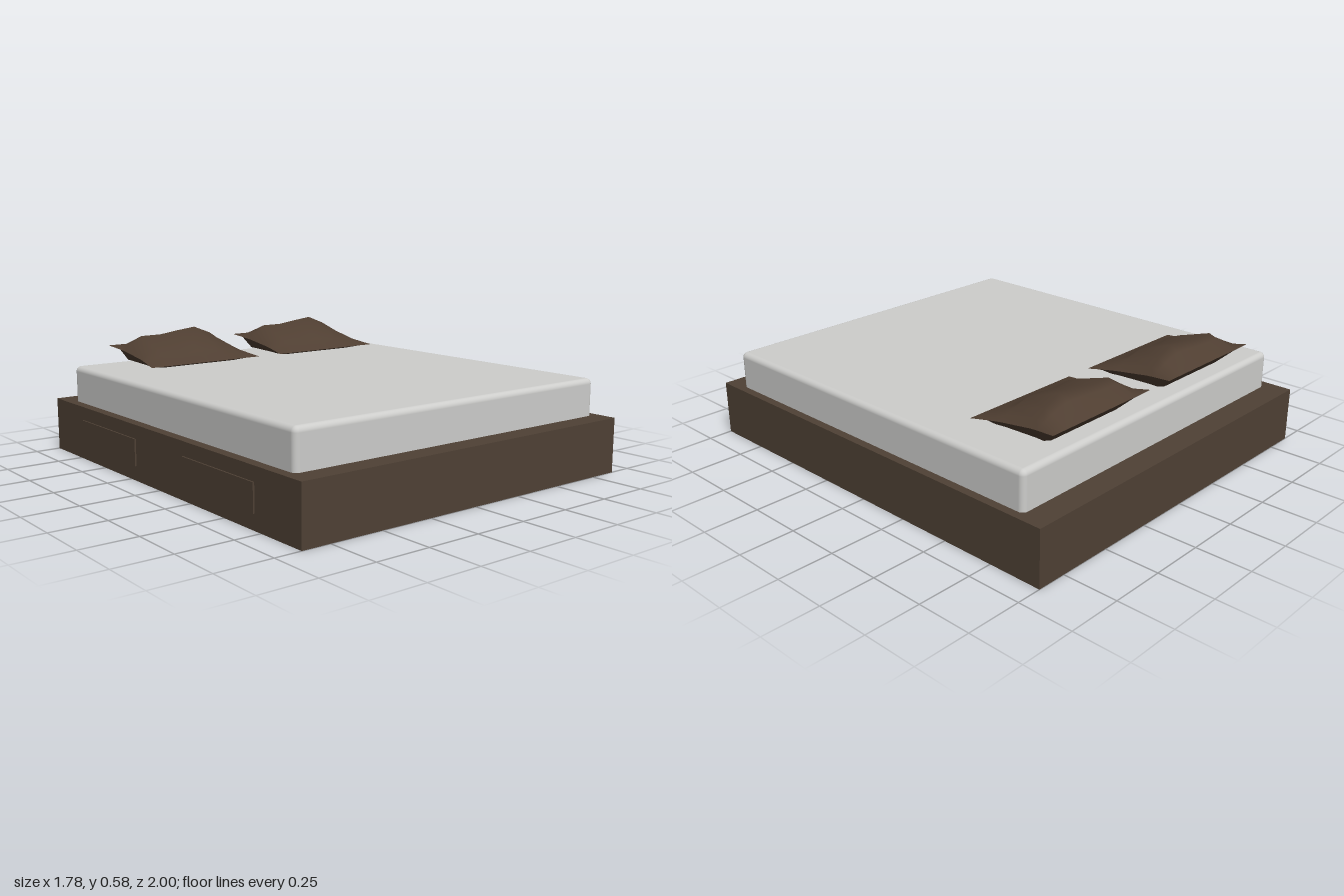
import * as THREE from 'three';
import { RoundedBoxGeometry } from 'three/addons/geometries/RoundedBoxGeometry.js';

const mat = (name, color) => Object.assign(new THREE.MeshStandardMaterial({ color }), { name });

function addMesh(parent, name, geometry, material, x, y, z) {
  const mesh = new THREE.Mesh(geometry, material);
  mesh.name = name;
  mesh.position.set(x, y, z);
  parent.add(mesh);
  return mesh;
}

// Pillow cross-sections from back to front: z, half width, seam height, top rise, bottom drop
const ROWS = [
  [-0.88, 0.302, 0.510, 0, 0],
  [-0.79, 0.284, 0.497, 0.065, 0.067],
  [-0.75, 0.280, 0.492, 0.093, 0.062],
  [-0.59, 0.282, 0.470, 0.055, 0.040],
  [-0.54, 0.288, 0.463, 0.036, 0.033],
  [-0.50, 0.294, 0.457, 0.020, 0.018],
  [-0.45, 0.303, 0.450, 0, 0],
];
// Position across the pillow, and how puffed the top and bottom are there
const COLS = [
  [0, 0, 0], [0.07, 0.4, 0.8], [0.16, 0.74, 1], [0.35, 0.74, 1], [0.52, 0.88, 1],
  [0.70, 1, 1], [0.86, 0.62, 1], [0.94, 0.3, 0.8], [1, 0, 0],
];

// One side of the pillow, lofted through the cross-sections
function pillowSide(isTop) {
  const pos = [], index = [], n = COLS.length;
  ROWS.forEach(([z, half, seam, rise, drop], r) => COLS.forEach(([t, up, down], c) => {
    // soft creases near the front edge
    const crease = r > 3 && r < 6 && c % 2 ? 0.6 : 1;
    const y = isTop ? seam + rise * up * crease : seam - drop * down;
    pos.push((t * 2 - 1) * half, y, z);
    if (r && c) {
      const d = r * n + c, a = d - n - 1, b = d - n, e = d - 1;
      if (isTop) index.push(a, e, b, b, e, d);
      else index.push(a, b, e, b, d, e);
    }
  }));
  const g = new THREE.BufferGeometry();
  g.setAttribute('position', new THREE.Float32BufferAttribute(pos, 3));
  g.setIndex(index);
  g.computeVertexNormals();
  return g;
}

export function createModel() {
  const bed = new THREE.Group();
  bed.name = 'bed';
  const wood = mat('dark brown wood', 0x4f4135);
  const sheet = mat('pale grey fabric', 0xcdcdcb);
  const cushion = mat('brown fabric', 0x503f32);
  cushion.side = THREE.DoubleSide;

  // Solid base
  addMesh(bed, 'bedBase', new THREE.BoxGeometry(1.768, 0.253, 2), wood, 0.003, 0.1265, 0);

  // Two drawer fronts on the right side
  for (const z of [-0.455, 0.455]) {
    addMesh(bed, 'drawerFront', new THREE.BoxGeometry(0.008, 0.122, 0.51), wood, -0.884, 0.129, z);
  }

  // Mattress, sunk slightly into the base
  addMesh(bed, 'mattress', new RoundedBoxGeometry(1.685, 0.225, 1.785, 4, 0.025), sheet, 0.007, 0.3125, 0.009);

  // Two pillows at the back
  const top = pillowSide(true), bottom = pillowSide(false);
  for (const x of [-0.35, 0.384]) {
    const pillow = new THREE.Group();
    pillow.name = 'pillow';
    pillow.position.x = x;
    addMesh(pillow, 'pillowTop', top, cushion, 0, 0, 0);
    addMesh(pillow, 'pillowBottom', bottom, cushion, 0, 0, 0);
    bed.add(pillow);
  }
  return bed;
}
